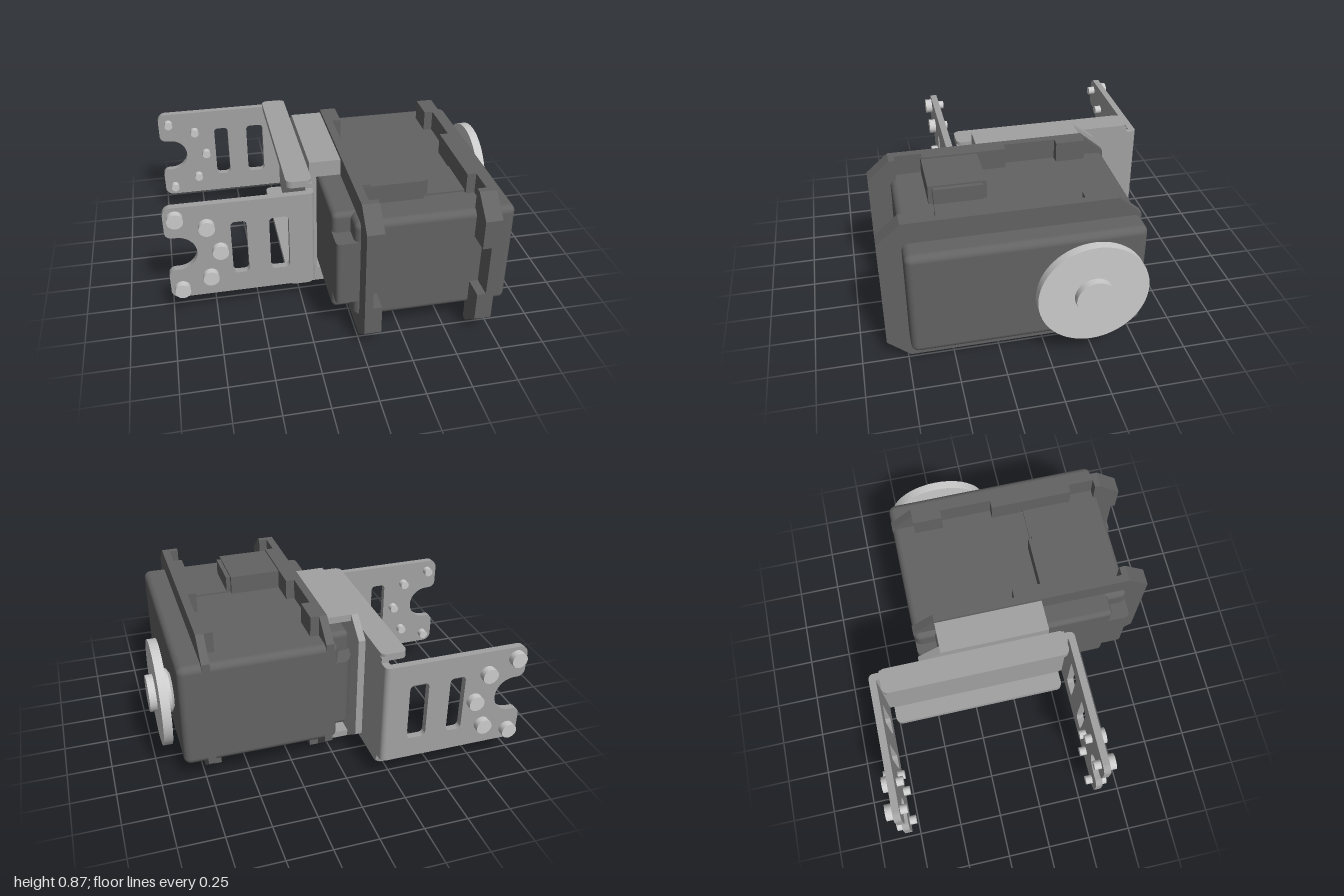
import * as THREE from 'three';
import { RoundedBoxGeometry } from 'three/addons/geometries/RoundedBoxGeometry.js';

const H = 0.865; // overall height, everything mirrors about H / 2
const mat = (color) => new THREE.MeshStandardMaterial({ color });

export function createModel() {
  const dark = mat(0x636363), steel = mat(0xa2a2a2), light = mat(0xcccccc);
  const root = new THREE.Group();

  const add = (name, geo, m, parent = root) => {
    const mesh = new THREE.Mesh(geo, m);
    mesh.name = name;
    parent.add(mesh);
    return mesh;
  };
  // box given by its limits, optionally with rounded edges
  const box = (name, m, [x0, x1], [y0, y1], [z0, z1], r = 0, parent = root) => {
    const s = [x1 - x0, y1 - y0, z1 - z0];
    const geo = r ? new RoundedBoxGeometry(...s, 4, r) : new THREE.BoxGeometry(...s);
    geo.translate((x0 + x1) / 2, (y0 + y1) / 2, (z0 + z1) / 2);
    return add(name, geo, m, parent);
  };
  // outline of [z, y] points extruded from x0 to x1
  const alongX = (name, m, pts, x0, x1, parent = root) => {
    const shape = new THREE.Shape(pts.map(([z, y]) => new THREE.Vector2(-z, y)));
    const geo = new THREE.ExtrudeGeometry(shape, { depth: x1 - x0, bevelEnabled: false });
    geo.rotateY(Math.PI / 2).translate(x0, 0, 0);
    return add(name, geo, m, parent);
  };
  const flip = ([a, b]) => [H - b, H - a];
  const bothY = (name, m, x, y, z, r) => {
    box(name + 'Upper', m, x, y, z, r);
    box(name + 'Lower', m, x, flip(y), z, r);
  };
  // rounded rectangle drawn into a shape or path
  const roundRect = (s, x0, y0, x1, y1, r) => {
    s.absarc(x1 - r, y0 + r, r, -Math.PI / 2, 0);
    s.absarc(x1 - r, y1 - r, r, 0, Math.PI / 2);
    s.absarc(x0 + r, y1 - r, r, Math.PI / 2, Math.PI);
    s.absarc(x0 + r, y0 + r, r, Math.PI, Math.PI * 1.5);
    s.closePath();
    return s;
  };

  // Motor housing
  box('housing', dark, [-0.02, 0.865], [0.12, 0.745], [-0.53, 0.735], 0.04);

  // End cap with stepped corners: a tall block crossed by a long one
  box('endCap', dark, [-0.12, 0.06], [0.12, 0.745], [-0.41, 0.62], 0.03);
  const cap = new THREE.Shape();
  cap.moveTo(0.05, -0.735);
  cap.lineTo(0.05, 0.53);
  cap.lineTo(-0.06, 0.53);
  cap.quadraticCurveTo(-0.11, 0.5, -0.12, 0.41);
  cap.lineTo(-0.12, -0.705);
  cap.quadraticCurveTo(-0.12, -0.735, -0.09, -0.735);
  const capGeo = new THREE.ExtrudeGeometry(cap, { depth: 0.39, bevelEnabled: false });
  capGeo.rotateX(-Math.PI / 2).translate(0, 0.24, 0);
  add('endCapCore', capGeo, dark);

  // Two octagonal flanges, each with tabs on its inner side
  const octagon = [[-0.4, 0], [0.735, 0], [0.86, 0.11], [0.86, H - 0.11],
    [0.735, H], [-0.4, H], [-0.53, H - 0.11], [-0.53, 0.11]];
  const corner = [[0.7, 0], [0.735, 0], [0.86, 0.11], [0.86, 0.28], [0.7, 0.28]];
  for (const [side, x0, x1, t0, t1] of [
    ['inner', 0.01, 0.055, 0.055, 0.105], ['outer', 0.69, 0.735, 0.64, 0.69]]) {
    alongX(side + 'Flange', dark, octagon, x0, x1);
    alongX(side + 'CornerLower', dark, corner, t0, t1);
    alongX(side + 'CornerUpper', dark, corner.map(([z, y]) => [z, H - y]), t0, t1);
    for (const z of [[-0.4, -0.23], [0.07, 0.55]])
      bothY(side + 'Tab', dark, [t0, t1], [0.7, H], z);
  }

  // Cable sockets between the flanges
  bothY('socket', dark, [0.06, 0.4], [0.7, 0.855], [0.235, 0.555]);
  bothY('socketMouth', dark, [0.38, 0.425], [0.7, 0.845], [0.26, 0.53]);
  bothY('cablePad', dark, [0.42, 0.66], [0.7, 0.755], [0.26, 0.53]);

  // Output horn, turned around the x axis
  const horn = [[0, 0.85], [0.1, 0.85], [0.1, 0.865], [0.125, 0.88], [0.125, 0.9], [0.1, 0.91],
    [0.3, 0.91], [0.3, 0.96], [0.105, 0.96], [0.105, 1], [0, 1]];
  const pts = horn.map(([r, x]) => new THREE.Vector2(r, x));
  // each segment is turned separately so its rims stay sharp
  const hornGroup = new THREE.Group();
  hornGroup.name = 'outputHorn';
  for (let i = 0; i < pts.length - 1; i++) {
    const g = new THREE.LatheGeometry([pts[i], pts[i + 1]], 64);
    g.rotateZ(-Math.PI / 2).translate(0, 0.435, -0.22);
    add('hornSurface', g, light, hornGroup);
  }
  root.add(hornGroup);

  // Mounting saddle wrapped around the end cap
  const saddle = [[0.22, 0.02], [0.22, H - 0.02], [-0.4, H - 0.02], [-0.53, H - 0.12],
    [-0.53, 0.12], [-0.4, 0.02]];
  alongX('saddlePlate', steel, saddle, -0.17, -0.13);
  bothY('saddleFlange', steel, [-0.17, 0.01], [0.805, 0.845], [-0.4, 0.22]);
  bothY('saddleEnd', steel, [-0.17, 0.01], [0.75, 0.845], [0.18, 0.22]);

  // U bracket web with folded lips
  box('bracketWeb', steel, [-0.21, -0.17], [0.1, H - 0.1], [-0.76, 0.31]);
  const lip = roundRect(new THREE.Shape(), -0.315, -0.31, -0.17, 0.76, 0.035);
  for (const y of [0.745, 0.08]) {
    const g = new THREE.ExtrudeGeometry(lip, { depth: 0.04, bevelEnabled: false });
    g.rotateX(-Math.PI / 2).translate(0, y, 0);
    add('bracketLip', g, steel);
  }
  // bent strip that carries the web round into both arms
  const bend = new THREE.Shape();
  bend.moveTo(-0.21, 0.785);
  bend.lineTo(-0.21, -0.33);
  bend.lineTo(-0.25, -0.33);
  bend.lineTo(-0.25, -0.37);
  bend.absarc(-0.2, -0.34, 0.03, -Math.PI / 2, 0);
  bend.absarc(-0.2, 0.795, 0.03, 0, Math.PI / 2);
  bend.lineTo(-0.25, 0.825);
  bend.lineTo(-0.25, 0.785);
  const bendGeo = new THREE.ExtrudeGeometry(bend, { depth: 0.6, bevelEnabled: false });
  bendGeo.rotateX(-Math.PI / 2).translate(0, 0.135, 0);
  add('bracketBend', bendGeo, steel);

  // Slotted arm with an open round notch at its tip
  const arm = new THREE.Shape();
  arm.moveTo(-0.25, 0.135);
  arm.lineTo(-0.25, 0.735);
  arm.absarc(-0.95, 0.685, 0.05, Math.PI / 2, Math.PI);
  arm.absarc(-0.96, 0.582, 0.04, Math.PI, Math.PI * 1.5);
  arm.absarc(-0.94, 0.435, 0.107, Math.PI / 2, -Math.PI / 2, true);
  arm.absarc(-0.96, 0.288, 0.04, Math.PI / 2, Math.PI);
  arm.absarc(-0.95, 0.185, 0.05, Math.PI, Math.PI * 1.5);
  arm.holes.push(roundRect(new THREE.Path(), -0.64, 0.26, -0.55, 0.605, 0.025));
  arm.holes.push(roundRect(new THREE.Path(), -0.425, 0.26, -0.315, 0.605, 0.025));
  const armGeo = new THREE.ExtrudeGeometry(arm, { depth: 0.04, bevelEnabled: false });
  const rivets = [[-0.935, 0.67], [-0.935, 0.2], [-0.77, 0.6], [-0.77, 0.265], [-0.705, 0.435]];
  const headGeo = new THREE.CylinderGeometry(0.045, 0.045, 0.04, 24).rotateX(Math.PI / 2);
  const pinGeo = new THREE.CylinderGeometry(0.026, 0.026, 0.05, 24).rotateX(Math.PI / 2);
  for (const [name, z, out] of [['frontArm', 0.33, 1], ['backArm', -0.825, -1]]) {
    const g = new THREE.Group();
    g.name = name;
    g.position.z = z;
    add('armPlate', armGeo, steel, g);
    for (const [x, y] of rivets) {
      add('rivetHead', headGeo, light, g).position.set(x, y, 0.02 + out * 0.04);
      add('rivetPin', pinGeo, light, g).position.set(x, y, 0.02 - out * 0.035);
    }
    root.add(g);
  }
  return root;
}
